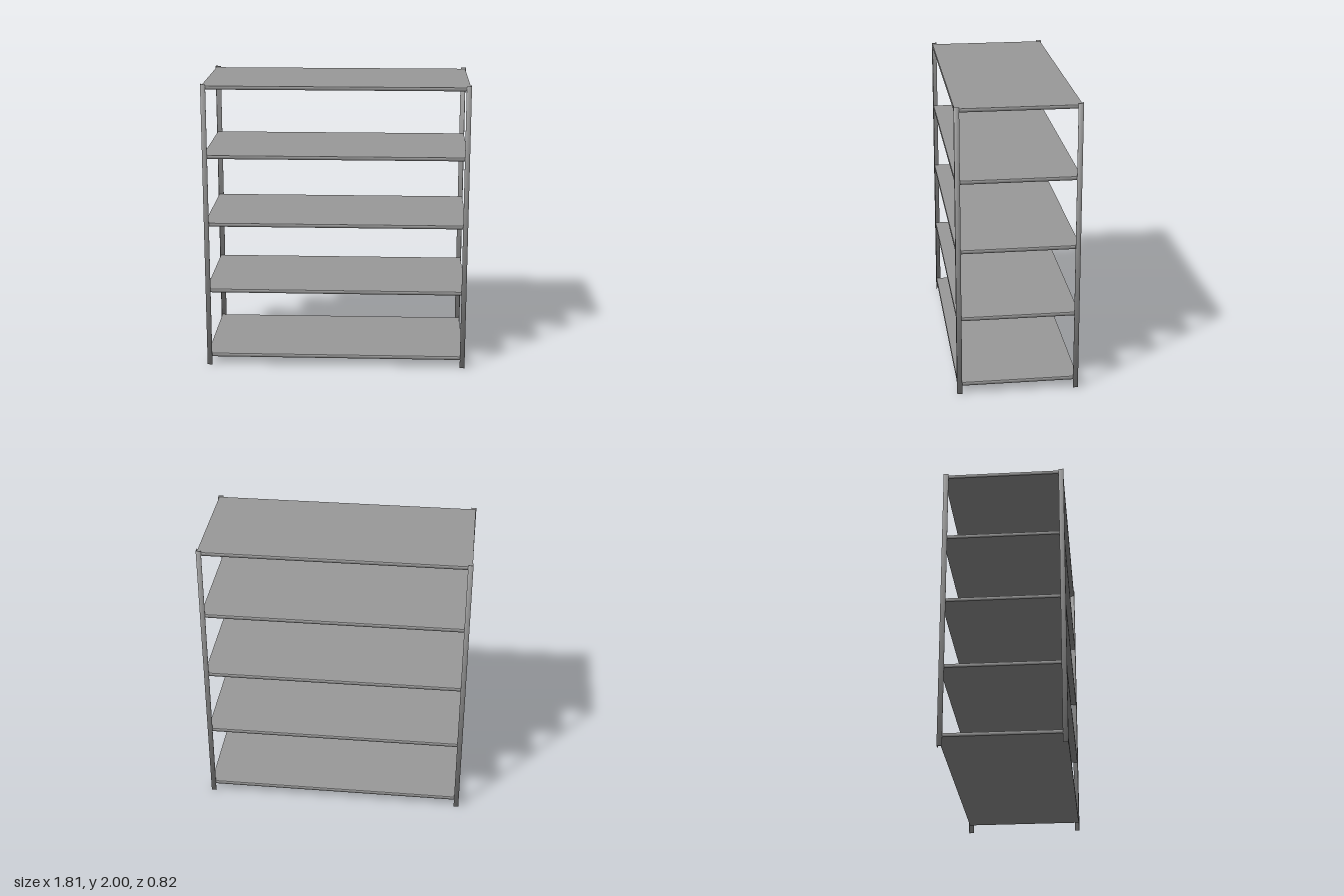
import * as THREE from 'three';

const X = 0.907, Z = 0.412, HEIGHT = 2;   // outer half sizes and height
const FLANGE = 0.034, SHEET = 0.004;      // angle-iron post section

// Averages the normals of all faces that meet at a corner
function smoothCorners(geometry) {
  const { position, normal } = geometry.attributes;
  const corners = new Map();
  const keyOf = (v) => v.toArray().map((n) => Math.round(n * 1e4)).join();
  const p = new THREE.Vector3();
  const keys = [];
  for (let i = 0; i < position.count; i++) {
    keys.push(keyOf(p.fromBufferAttribute(position, i)));
    if (!corners.has(keys[i])) corners.set(keys[i], new Map());
    const n = new THREE.Vector3().fromBufferAttribute(normal, i);
    corners.get(keys[i]).set(keyOf(n), n);
  }
  keys.forEach((key, i) => {
    p.set(0, 0, 0);
    for (const n of corners.get(key).values()) p.add(n);
    p.normalize();
    normal.setXYZ(i, p.x, p.y, p.z);
  });
  return geometry;
}

// Softens the shelf rim: side normals lean up at the top and down at the bottom
function softenRim(geometry) {
  const { position, normal } = geometry.attributes;
  const n = new THREE.Vector3();
  for (let i = 0; i < normal.count; i++) {
    n.fromBufferAttribute(normal, i);
    if (Math.abs(n.y) > 0.5) continue;
    n.y = Math.sign(position.getY(i));
    n.normalize();
    normal.setXYZ(i, n.x, n.y, n.z);
  }
  return geometry;
}

export function createModel() {
  const group = new THREE.Group();
  const material = new THREE.MeshStandardMaterial({ color: 0x9a9a9a });

  function add(name, geometry) {
    const mesh = new THREE.Mesh(geometry, material);
    mesh.name = name;
    group.add(mesh);
    return mesh;
  }

  // L-section post, outer corner at the origin, standing upright
  const section = new THREE.Shape([
    [0, 0], [FLANGE, 0], [FLANGE, SHEET], [SHEET, SHEET], [SHEET, FLANGE], [0, FLANGE],
  ].map(([x, y]) => new THREE.Vector2(x, y)));
  const postGeometry = smoothCorners(
    new THREE.ExtrudeGeometry(section, { depth: HEIGHT, bevelEnabled: false }).rotateX(-Math.PI / 2));

  // Four corner posts, each a quarter turn on from the last
  const corners = [['frontRight', -1, 1], ['frontLeft', 1, 1], ['backLeft', 1, -1], ['backRight', -1, -1]];
  corners.forEach(([name, sx, sz], i) => {
    const post = add(`${name}Post`, postGeometry);
    post.position.set(sx * X, 0, sz * Z);
    post.rotation.y = i * Math.PI / 2;
  });

  // Five evenly spaced shelves fitted inside the posts
  const shelfGeometry = softenRim(
    new THREE.BoxGeometry(2 * (X - SHEET), 0.024, 2 * (Z - SHEET)));
  for (let i = 0; i < 5; i++) {
    add(`shelf${i + 1}`, shelfGeometry).position.y = 0.072 + i * 0.4765;
  }

  return group;
}
